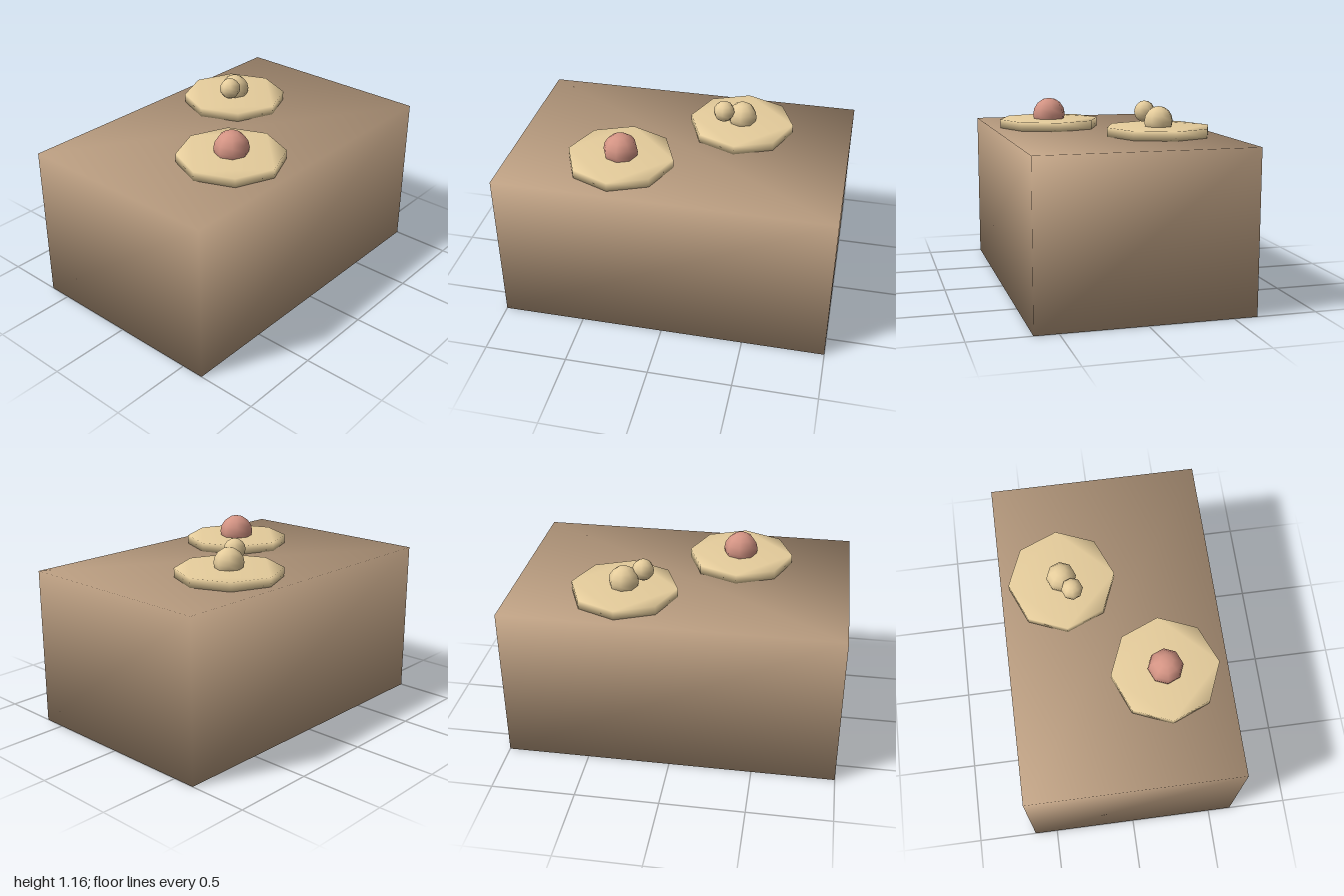
import * as THREE from 'three';
import { mergeVertices } from 'three/addons/utils/BufferGeometryUtils.js';

const material = (color) => new THREE.MeshStandardMaterial({ color });

// Weld corners so shading runs smoothly over every edge
function smooth(geometry) {
  geometry.deleteAttribute('normal');
  geometry.deleteAttribute('uv');
  const welded = mergeVertices(geometry, 1e-4);
  welded.computeVertexNormals();
  return welded;
}

export function createModel() {
  const model = new THREE.Group();
  const wood = material(0xbc9f82);
  const cream = material(0xe6cd9c);
  const pink = material(0xd49484);

  function add(name, geometry, mat, x, y, z) {
    const mesh = new THREE.Mesh(geometry, mat);
    mesh.name = name;
    mesh.position.set(x, y, z);
    model.add(mesh);
  }

  // Solid table block
  add('tableBlock', smooth(new THREE.BoxGeometry(1.28, 0.96, 2)), wood, 0, 0.48, 0);

  // Eight-sided plates
  const outline = [];
  for (let i = 0; i < 8; i++) {
    const a = (i * Math.PI) / 4;
    outline.push(new THREE.Vector2(0.32 * Math.cos(a), 0.32 * Math.sin(a)));
  }
  const plate = new THREE.ExtrudeGeometry(new THREE.Shape(outline), { depth: 0.055, bevelEnabled: false });
  plate.rotateX(-Math.PI / 2);
  const plateGeometry = smooth(plate);
  add('backPlate', plateGeometry, cream, -0.27, 0.96, -0.32);
  add('frontPlate', plateGeometry, cream, 0.265, 0.96, 0.32);

  // Round food on the plates
  const ball = (r) => new THREE.SphereGeometry(r, 8, 8);
  add('pinkBall', ball(0.105), pink, 0.265, 1.042, 0.318);
  add('largeCreamBall', ball(0.09), cream, -0.27, 1.045, -0.322);
  add('smallCreamBall', ball(0.065), cream, -0.215, 1.096, -0.215);

  return model;
}
